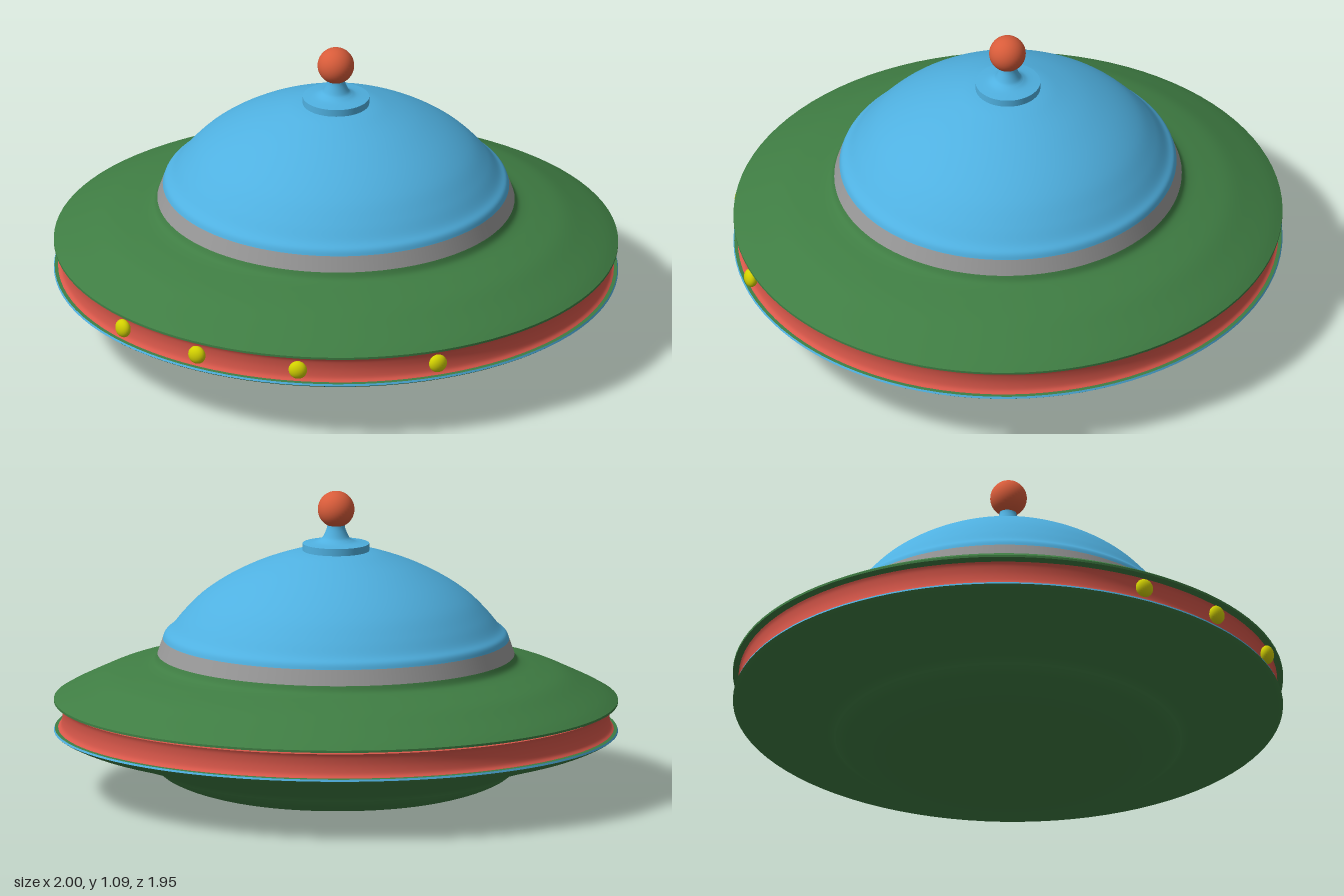
import * as THREE from 'three';

const SEG = 96;
const BLUE = 0x4fb0e0, GREEN = 0x3f7d43, RED = 0xd8574a, ORANGE = 0xd85c3a, GREY = 0x999999, YELLOW = 0xd2d000;

export function createModel() {
  const model = new THREE.Group();
  model.name = 'flyingSaucer';

  // The hull is slightly narrower front to back than side to side
  const hull = new THREE.Group();
  hull.name = 'hull';
  hull.scale.z = 0.97;
  hull.position.z = -0.01;
  model.add(hull);

  const mat = (color) => new THREE.MeshStandardMaterial({ color, side: THREE.DoubleSide });

  // Turned part from [radius, height] points listed bottom to top; smooth profiles follow a spline
  function turned(name, color, points, smooth = 0) {
    let pts = points.map(([r, y]) => new THREE.Vector2(r, y));
    if (smooth) {
      pts = new THREE.SplineCurve(pts).getPoints(smooth);
      pts.forEach((p) => { p.x = Math.max(p.x, 0); });
    }
    const mesh = new THREE.Mesh(new THREE.LatheGeometry(pts, SEG), mat(color));
    mesh.name = name;
    hull.add(mesh);
    return mesh;
  }

  // Lower hull: shallow belly, step and flared underside
  turned('belly', GREEN, [[0, 0.005], [0.3, 0.011], [0.45, 0.021], [0.54, 0.043], [0.6, 0.068], [0.625, 0.085]], 24);
  turned('lowerHull', GREEN, [[0.625, 0.085], [0.65, 0.105], [0.72, 0.133], [0.83, 0.168], [0.93, 0.197], [0.985, 0.22], [1, 0.229]], 30);
  turned('lowerRimTrim', BLUE, [[1, 0.229], [0.997, 0.236]]);
  turned('lowerHullTop', GREEN, [[0.997, 0.236], [0.95, 0.24]]);

  // Recessed light band with a slightly hollow face
  turned('lightBand', RED, [[0.985, 0.238], [0.974, 0.25], [0.97, 0.28], [0.973, 0.31], [0.979, 0.324]], 16);
  turned('lightBandTop', RED, [[0.979, 0.324], [0, 0.324]]);

  // Upper hull above a thin gap
  turned('upperHullUnderside', GREEN, [[0, 0.333], [1, 0.333]]);
  turned('upperRim', GREEN, [[1, 0.333], [1, 0.341]]);
  turned('upperHull', GREEN, [[1, 0.341], [0.96, 0.364], [0.89, 0.398], [0.81, 0.434], [0.73, 0.457],
    [0.67, 0.472], [0.645, 0.484], [0.633, 0.505]], 36);

  // Dome seated on a grey collar
  turned('domeCollar', GREY, [[0.633, 0.505], [0.614, 0.56]]);
  turned('dome', BLUE, [[0.614, 0.56], [0.605, 0.58], [0.58, 0.602], [0.54, 0.65], [0.48, 0.71], [0.4, 0.766],
    [0.3, 0.818], [0.2, 0.856], [0.12, 0.877], [0, 0.89]], 48);

  // Antenna: cap, flared stem and ball
  turned('antennaCapSide', BLUE, [[0.118, 0.872], [0.118, 0.903]]);
  turned('antennaCapTop', BLUE, [[0.118, 0.903], [0.075, 0.909], [0.055, 0.918]], 8);
  turned('antennaStem', BLUE, [[0.055, 0.918], [0.045, 0.928], [0.032, 0.96], [0.03, 0.985]], 12);
  const ball = new THREE.Mesh(new THREE.SphereGeometry(0.065, 40, 24), mat(ORANGE));
  ball.name = 'antennaBall';
  ball.position.set(0, 1.025, -0.008);
  model.add(ball);

  // Four flattened lamps around the front, each facing outward
  [-0.615, -0.315, 0.06, 0.535].forEach((x, i) => {
    const angle = Math.asin(x / 0.98);
    const lamp = new THREE.Mesh(new THREE.SphereGeometry(0.033, 24, 16), mat(YELLOW));
    lamp.name = `lamp${i + 1}`;
    lamp.scale.z = 0.7;
    lamp.position.set(x, 0.284, 0.98 * Math.cos(angle) * 0.975 - 0.006);
    lamp.rotation.y = angle;
    model.add(lamp);
  });

  return model;
}
